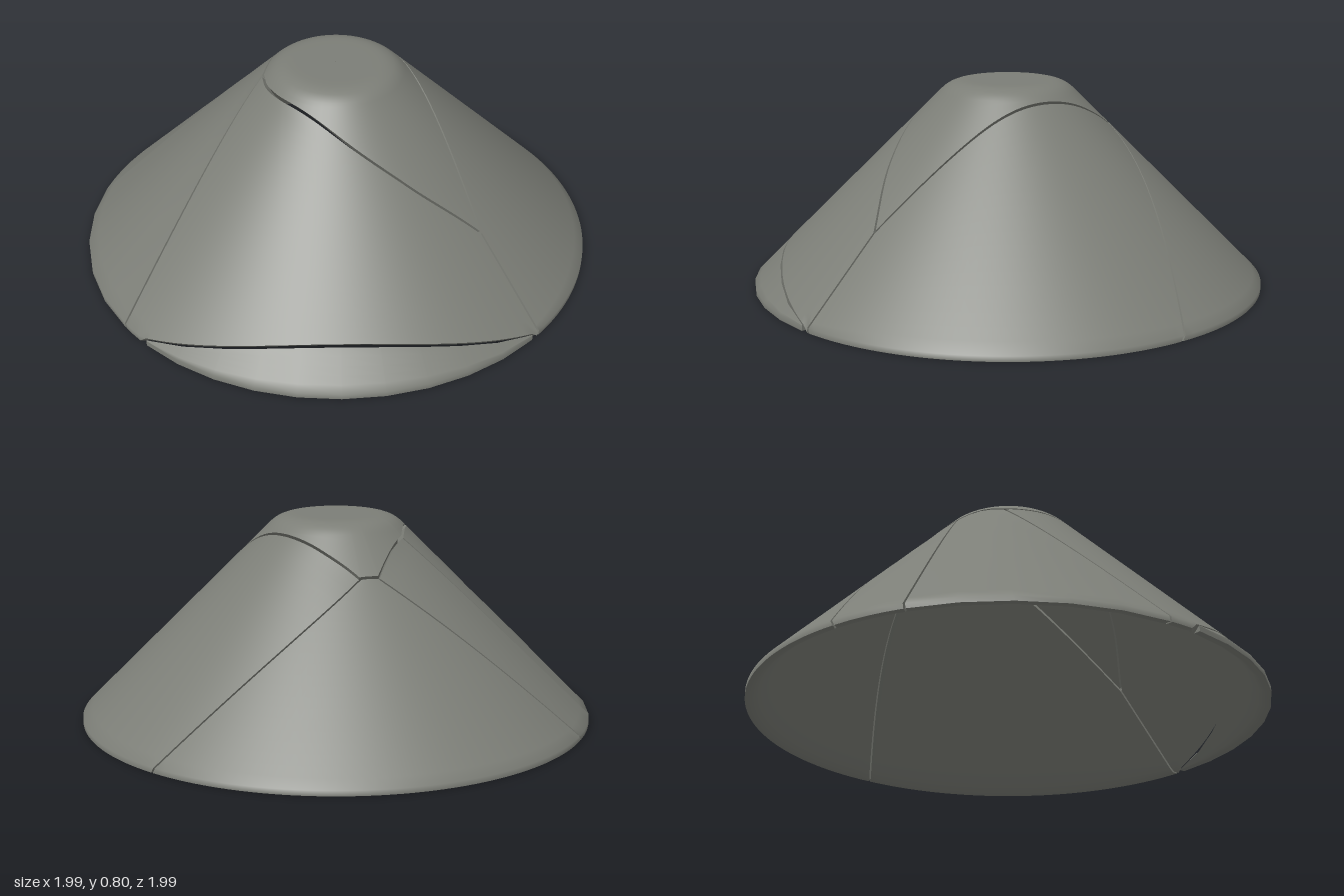
import * as THREE from 'three';

const RIM = 0.995, LIP = 1.015, THICK = 0.035, GAP = 0.004;
const rad = THREE.MathUtils.degToRad, lerp = THREE.MathUtils.lerp;

// Cone profile by distance p from the axis: soft crown, straight side; past RIM it turns down into the lip.
function profile(p, inner) {
  if (p > RIM) return inner ? [RIM - 0.025 + (p - RIM), 0] : [RIM, Math.max(0, LIP - p)];
  const k = THREE.MathUtils.clamp(p - 0.14, 0, 0.12), m = (k / 0.12) ** 2;
  const y = 0.795 - k * m / 3 - Math.max(0, p - 0.26);
  if (!inner) return [p, y];
  const t = THICK / Math.hypot(1, m);
  return [Math.max(0, p - m * t), Math.max(0, y - t)];
}

// Thick shard from a grid: at(s, j) gives [angle, p]; s runs along falling angle, j outward.
function shard(name, at, cols, rows, material) {
  const pos = [], idx = [], w = rows + 1, layer = (cols + 1) * w;
  for (const inner of [false, true])
    for (let i = 0; i <= cols; i++)
      for (let j = 0; j <= rows; j++) {
        const [a, p] = at(i / cols, j), [r, y] = profile(p, inner);
        pos.push(r * Math.cos(a), y, r * Math.sin(a));
      }
  const quad = (a, b, c, d) => idx.push(a, b, c, a, c, d);
  for (let i = 0; i < cols; i++)
    for (let j = 0; j < rows; j++) {
      const a = i * w + j, b = a + 1, c = b + w, d = a + w;
      quad(a, b, c, d);
      quad(layer + d, layer + c, layer + b, layer + a);
    }
  // broken edges, with their own vertices so they stay sharp
  const loop = [];
  for (let j = 0; j < rows; j++) loop.push(j);
  for (let i = 0; i < cols; i++) loop.push(i * w + rows);
  for (let j = rows; j > 0; j--) loop.push(cols * w + j);
  for (let i = cols; i > 0; i--) loop.push(i * w);
  loop.forEach((a, n) => {
    const b = loop[(n + 1) % loop.length], base = pos.length / 3;
    for (const v of [a, a + layer, b + layer, b]) pos.push(pos[v * 3], pos[v * 3 + 1], pos[v * 3 + 2]);
    quad(base, base + 1, base + 2, base + 3);
  });
  const geo = new THREE.BufferGeometry();
  geo.setAttribute('position', new THREE.Float32BufferAttribute(pos, 3));
  geo.setIndex(idx);
  geo.computeVertexNormals();
  const mesh = new THREE.Mesh(geo, material);
  mesh.name = name;
  return mesh;
}

// Crack line seen from above, returned as s -> [angle, radius].
function crack(points, wrap) {
  const curve = new THREE.CatmullRomCurve3(points.map(([x, z]) => new THREE.Vector3(x, 0, z)));
  return s => {
    const v = curve.getPoint(s);
    let a = Math.atan2(v.z, v.x);
    if (wrap && v.z > 0) a -= Math.PI * 2;
    return [a, Math.hypot(v.x, v.z)];
  };
}

export function createModel() {
  const group = new THREE.Group();
  group.name = 'crackedCone';
  const material = new THREE.MeshStandardMaterial({ color: 0x7c7e77, side: THREE.DoubleSide });

  // corners of the crack around the top
  const A = [-0.19, -0.35], A2 = [-0.25, -0.31], B = [-0.28, -0.07], C = [-0.25, 0.12], E = [0.67, 0.19];
  const front = crack([C, [-0.2, 0.19], [-0.1, 0.255], [0.17, 0.31], [0.42, 0.28], E]);
  const back = crack([E, [0.36, -0.07], [0.13, -0.24], [-0.03, -0.31], A]);
  const corner = crack([A, A2]);
  const left = crack([A2, B]);
  const leftFront = crack([B, C], true);

  // top shard: rows round the crown, then run out to the crack
  const edges = [[front, 40], [back, 40], [corner, 4], [left, 8], [leftFront, 8]];
  const outline = edges.flatMap(([f, n]) => Array.from({ length: n }, (_, i) => f(i / n)));
  outline.push(leftFront(1));
  const n = outline.length - 1;
  const crown = [0.001, 0.07, 0.13, 0.155, 0.175, 0.19, 0.205, 0.22, 0.23, 0.24, 0.25, 0.26];
  group.add(shard('topShard', (s, j) => {
    const [a, r] = outline[Math.round(s * n)];
    return [a, j < crown.length ? crown[j] : lerp(0.26, r - GAP, (j - 11) / 6)];
  }, n, 17, material));

  // shallow arc that cuts off the lowest front piece; the rim is whole beyond its ends
  const arc = a => {
    const t = (a - rad(19)) / rad(93);
    return t < 0 || t > 1 ? LIP : RIM - 0.122 * Math.sin(Math.PI * t);
  };

  // side shards span from the inner crack to the rim between two angles
  const side = (name, inner, from, to, cols, outerP = () => LIP) => {
    const rows = 20;
    group.add(shard(name, (s, j) => {
      let [a0, r0] = inner(s);
      r0 += GAP;
      const a1 = lerp(rad(from), rad(to), s), r1 = outerP(a1);
      const p = j === rows ? r1 : lerp(r0, r1 - (LIP - RIM), j / (rows - 1));
      const t = (1 / r0 - 1 / p) / (1 / r0 - 1 / r1);
      return [lerp(a0, a1, t) - GAP / p * (1 - 2 * s), p];
    }, cols, rows, material));
  };
  side('frontShard', front, 118.4, 17.5, 60, a => {
    const p = arc(a);
    return p < RIM ? p - GAP : p;
  });
  side('rightBackShard', back, 17.5, -65.5, 40);
  side('backShard', corner, -65.5, -172.6, 40);
  side('leftShard', left, -172.6, -188.7, 4);
  side('leftFrontShard', leftFront, -188.7, -241.6, 5);

  // low front sliver along the rim
  group.add(shard('rimShard', (s, j) => {
    const a = lerp(rad(111), rad(19.5), s), r = Math.min(arc(a) + GAP, RIM - 0.002);
    return [a, j === 6 ? LIP : lerp(r, RIM, j / 5)];
  }, 10, 6, material));

  return group;
}
